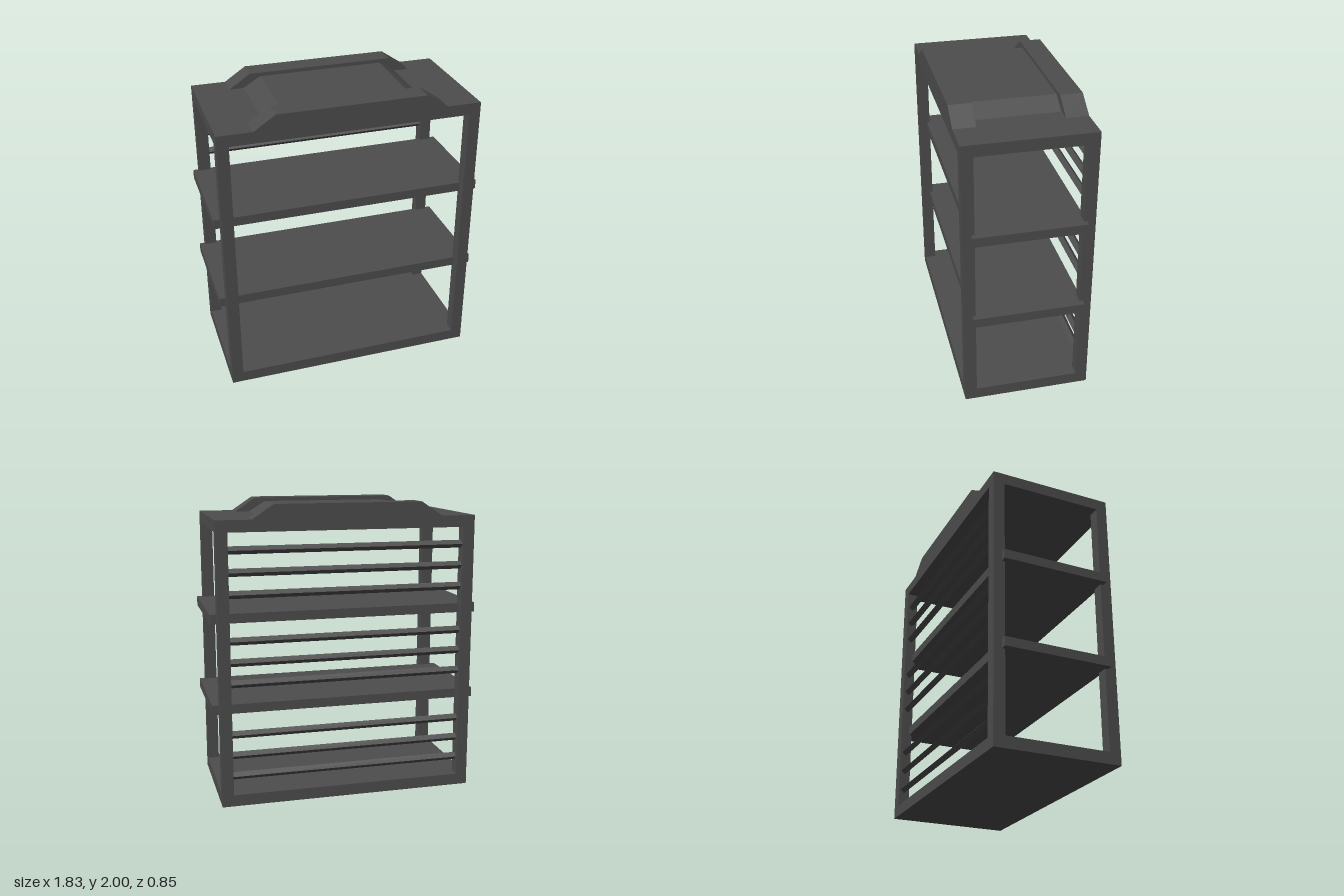
import * as THREE from 'three';

export function createModel() {
  const model = new THREE.Group();
  model.name = 'shelfUnit';
  const darkGrey = new THREE.MeshStandardMaterial({ color: 0x4d4d4d });
  darkGrey.name = 'darkGrey';

  const W = 0.871, D = 0.425, TOP = 1.905, T = 0.078;

  function add(name, geometry, x, y, z) {
    const mesh = new THREE.Mesh(geometry, darkGrey);
    mesh.name = name;
    mesh.position.set(x, y, z);
    model.add(mesh);
    return mesh;
  }
  const box = (name, w, h, d, x, y, z) => add(name, new THREE.BoxGeometry(w, h, d), x, y, z);

  // Base and top slabs
  box('baseSlab', 2 * W, T, 2 * D, 0, T / 2, 0);
  box('topSlab', 2 * W, T, 2 * D, 0, TOP - T / 2, 0);

  // Corner posts
  for (const sx of [-1, 1]) {
    for (const sz of [-1, 1]) {
      box('cornerPost', T, TOP - 2 * T, T, sx * (W - T / 2), TOP / 2, sz * (D - T / 2));
    }
  }

  // Shelves, poking out a little between the posts at each side
  for (const y of [0.66, 1.268]) box('shelf', 1.826, 0.063, 0.736, 0, y, 0);

  // Diamond-section rails across the back, three per bay
  for (const bay of [0.345, 0.977, 1.568]) {
    for (const step of [-1, 0, 1]) {
      const rail = box('backRail', 2 * (W - T), 0.037, 0.037, 0, bay + step * 0.143, -(D - T / 2));
      rail.rotation.x = Math.PI / 4;
    }
  }

  // Raised blocks with sloping ends on the top
  function raisedBlock(name, bottom, top, height, z0, z1) {
    const shape = new THREE.Shape([
      new THREE.Vector2(-bottom, 0),
      new THREE.Vector2(bottom, 0),
      new THREE.Vector2(top, height),
      new THREE.Vector2(-top, height),
    ]);
    add(name, new THREE.ExtrudeGeometry(shape, { depth: z1 - z0, bevelEnabled: false }), 0, TOP, z0);
  }
  raisedBlock('frontRidge', 0.638, 0.495, 0.095, 0.278, D);
  raisedBlock('backRidge', 0.638, 0.495, 0.095, -D, -0.278);
  raisedBlock('centrePanel', 0.54, 0.425, 0.07, -0.278, 0.278);

  return model;
}
